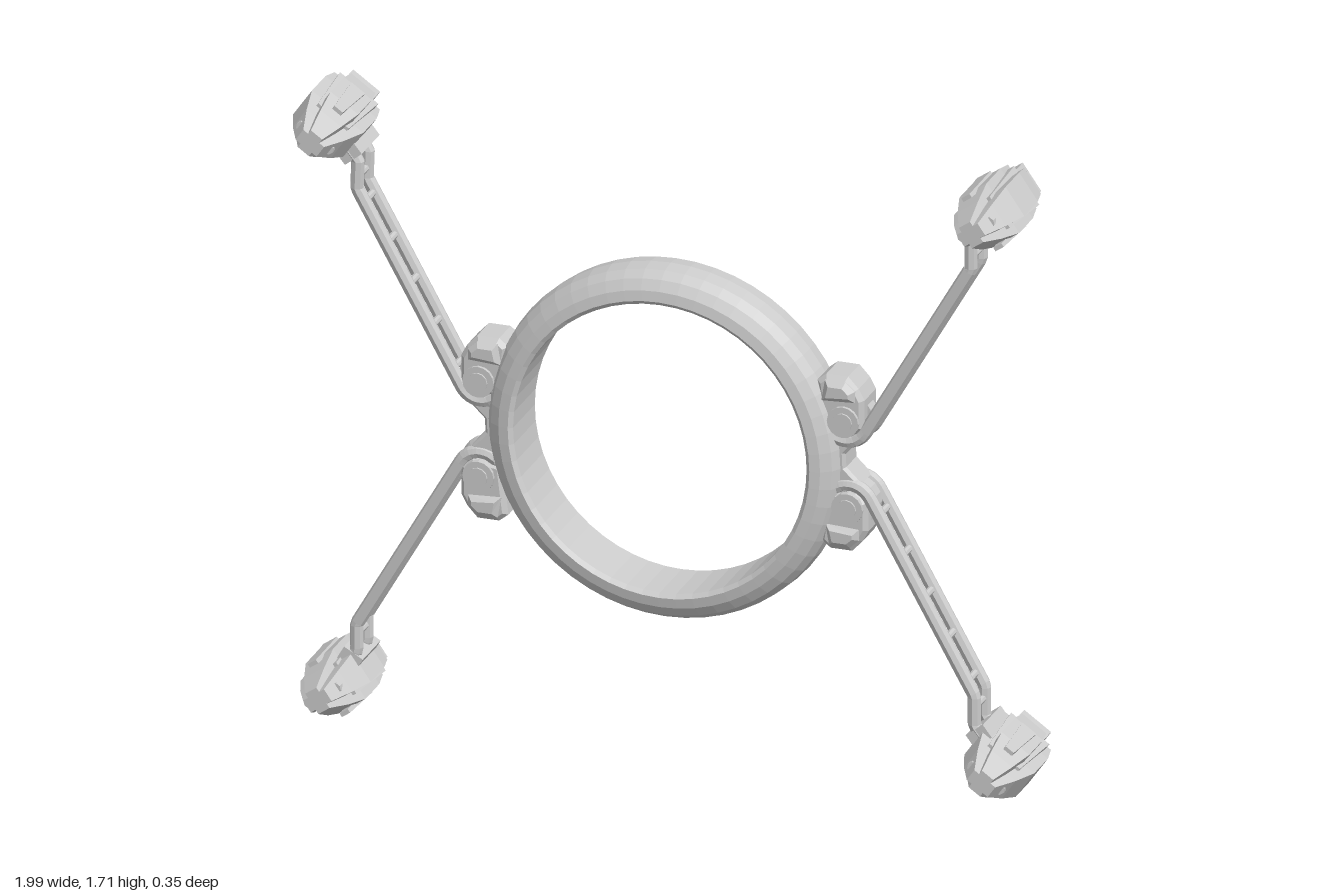
import * as THREE from 'three';

const metal = new THREE.MeshStandardMaterial({ color: 0xcccccc, flatShading: true });
const CY = 0.877;   // ring centre height
const CZ = -0.008;  // mid-plane of ring and arms

function part(name, geometry, parent) {
  const mesh = new THREE.Mesh(geometry, metal);
  mesh.name = name;
  parent.add(mesh);
  return mesh;
}

// Box whose front (+z) and back (-z) ends can be scaled
function taperedBox(w, h, z0, z1, front = 1, back = 1) {
  const g = new THREE.BoxGeometry(w, h, z1 - z0).translate(0, 0, (z0 + z1) / 2);
  const p = g.attributes.position;
  for (let i = 0; i < p.count; i++) {
    const s = p.getZ(i) > (z0 + z1) / 2 ? front : back;
    p.setXY(i, p.getX(i) * s, p.getY(i) * s);
  }
  return g;
}

// Bevelled plate centred on z = 0
function plate(points, half, bevel) {
  const shape = new THREE.Shape(points.map(([x, y]) => new THREE.Vector2(x, y)));
  return new THREE.ExtrudeGeometry(shape, {
    depth: 2 * (half - bevel), bevelThickness: bevel, bevelSize: bevel, bevelOffset: -bevel, bevelSegments: 1,
  }).translate(0, 0, bevel - half);
}

function rod(radius, length, sides) {
  return new THREE.CylinderGeometry(radius, radius, length, sides).rotateX(Math.PI / 2);
}

function makeRing(parent) {
  const profile = [
    [0.394, -0.08], [0.405, -0.09], [0.432, -0.085], [0.458, -0.068], [0.474, -0.042], [0.479, 0],
    [0.474, 0.042], [0.458, 0.068], [0.432, 0.085], [0.405, 0.09], [0.394, 0.08], [0.394, -0.08],
  ].map(([r, y]) => new THREE.Vector2(r, y));
  const ring = part('ring', new THREE.LatheGeometry(profile, 56).rotateX(Math.PI / 2), parent);
  ring.position.set(0, CY, CZ);
}

// Notched block on the ring between a pair of hinges
function makeSaddle(parent, turn) {
  const outline = [[0.43, 0.11], [0.47, 0.1], [0.525, 0.06], [0.485, 0.018],
    [0.485, -0.018], [0.525, -0.06], [0.47, -0.1], [0.43, -0.11]];
  const saddle = part('saddle', plate(outline, 0.045, 0.008), parent);
  saddle.position.set(0, CY, CZ);
  saddle.rotation.z = turn;
}

// Pod with a cross-shaped body, tapered nose and rear block
function makePod(parent, x, y, angle) {
  const pod = new THREE.Group();
  pod.name = 'pod';
  pod.position.set(x, y, 0);
  pod.rotation.z = angle;
  parent.add(pod);
  const bars = [[0.168, 0.088], [0.09, 0.152]];
  for (const [w, h] of bars) {
    part('podBody', taperedBox(w, h, -0.06, 0.04), pod);
    part('podBack', taperedBox(w, h, -0.113, -0.06, 1, 0.88), pod);
    part('podShoulder', taperedBox(w, h, 0.04, 0.11, 0.74), pod);
    part('podNose', taperedBox(w * 0.74, h * 0.74, 0.11, 0.175, 0.55), pod);
  }
  part('podCore', taperedBox(0.125, 0.118, -0.095, 0.075, 0.8), pod);
  part('rearBlock', taperedBox(0.088, 0.086, -0.175, -0.1, 1, 1), pod);
  part('rearRib', taperedBox(0.11, 0.045, -0.155, -0.1), pod);
  for (const s of [-1, 1]) {
    part('sideFin', taperedBox(0.045, 0.018, -0.05, 0.09, 0.6), pod).position.set(0, s * 0.075, 0);
    part('noseBar', rod(0.016, 0.1, 8), pod).position.set(s * 0.042, 0, 0.09);
  }
}

function makeArm(name, sx, sy, hinge, elbow, neck, foot, parent) {
  const arm = new THREE.Group();
  arm.name = name;
  parent.add(arm);
  const at = (a, r) => new THREE.Vector2(hinge[0] + sx * r * Math.cos(a), hinge[1] + sy * r * Math.sin(a));

  // Hinge bracket hugging the ring
  const outline = [[0.052, -0.02], [0.052, 0.06], [0.036, 0.09], [0.008, 0.12], [-0.05, 0.12],
    [-0.075, 0.1], [-0.058, -0.035], [0.02, -0.045]].map(([x, y]) => [sx * x, sy * y]);
  part('hingeBracket', plate(outline, 0.054, 0.012), arm).position.set(...hinge, CZ);
  const cover = [[0.03, 0.055], [0.03, 0.085], [0.005, 0.108], [-0.05, 0.108], [-0.06, 0.05]]
    .map(([x, y]) => [sx * x, sy * y]);
  part('bracketCover', plate(cover, 0.068, 0.014), arm).position.set(...hinge, CZ);
  part('hingePin', rod(0.042, 0.126, 16), arm).position.set(...hinge, CZ);
  part('hingeCap', rod(0.026, 0.136, 12), arm).position.set(...hinge, CZ);
  part('knuckle', rod(0.066, 0.04, 16), arm).position.set(...hinge, CZ);

  // Twin rails curling round the hinge, straight to the elbow, then into the pod
  const E = new THREE.Vector2(...elbow), N = new THREE.Vector2(...neck), F = new THREE.Vector2(...foot);
  const start = at(-Math.PI / 6, 0.06);
  const curl = [-2.3, -1.9, -1.5, -1.15, -0.8].map(a => at(a, 0.06));
  const path = [...curl, start, start.clone().lerp(E, 0.06), start.clone().lerp(E, 0.94), E, N, N.clone().lerp(F, 0.6)];
  for (const z of [CZ - 0.037, CZ + 0.037]) {
    const curve = new THREE.CurvePath();
    for (let i = 0; i + 1 < path.length; i++) {
      curve.add(new THREE.LineCurve3(new THREE.Vector3(path[i].x, path[i].y, z),
        new THREE.Vector3(path[i + 1].x, path[i + 1].y, z)));
    }
    part('rail', new THREE.TubeGeometry(curve, 80, 0.018, 8, false), arm);
    part('railEnd', new THREE.SphereGeometry(0.018, 8, 6), arm).position.set(path[0].x, path[0].y, z);
  }

  // Rungs
  for (let i = 0; i < 5; i++) {
    const p = E.clone().lerp(start, 0.07 + i * 0.21);
    part('rung', rod(0.01, 0.08, 8), arm).position.set(p.x, p.y, CZ);
  }
  const mid = E.clone().lerp(N, 0.4);
  part('rung', rod(0.01, 0.08, 8), arm).position.set(mid.x, mid.y, CZ);

  // Collar between rails and pod
  const lean = Math.atan2(F.y - N.y, F.x - N.x);
  const place = N.clone().lerp(F, 0.25);
  const collar = part('collar', taperedBox(0.04, 0.058, -0.066, 0.066), arm);
  collar.position.set(place.x, place.y, -0.02);
  collar.rotation.z = lean;

  makePod(arm, foot[0], foot[1], sx * sy * 0.61);
}

export function createModel() {
  const model = new THREE.Group();
  model.name = 'ringFrame';
  makeRing(model);
  makeSaddle(model, 0.045);
  makeSaddle(model, Math.PI + 0.045);
  makeArm('upperLeftArm', 1, 1, [0.484, 1.012], [0.82, 1.475], [0.82, 1.55], [0.873, 1.632], model);
  makeArm('upperRightArm', -1, 1, [-0.495, 0.98], [-0.829, 1.455], [-0.826, 1.53], [-0.902, 1.624], model);
  makeArm('lowerLeftArm', 1, -1, [0.495, 0.776], [0.829, 0.305], [0.829, 0.225], [0.9, 0.132], model);
  makeArm('lowerRightArm', -1, -1, [-0.495, 0.72], [-0.829, 0.26], [-0.829, 0.19], [-0.882, 0.098], model);
  return model;
}
